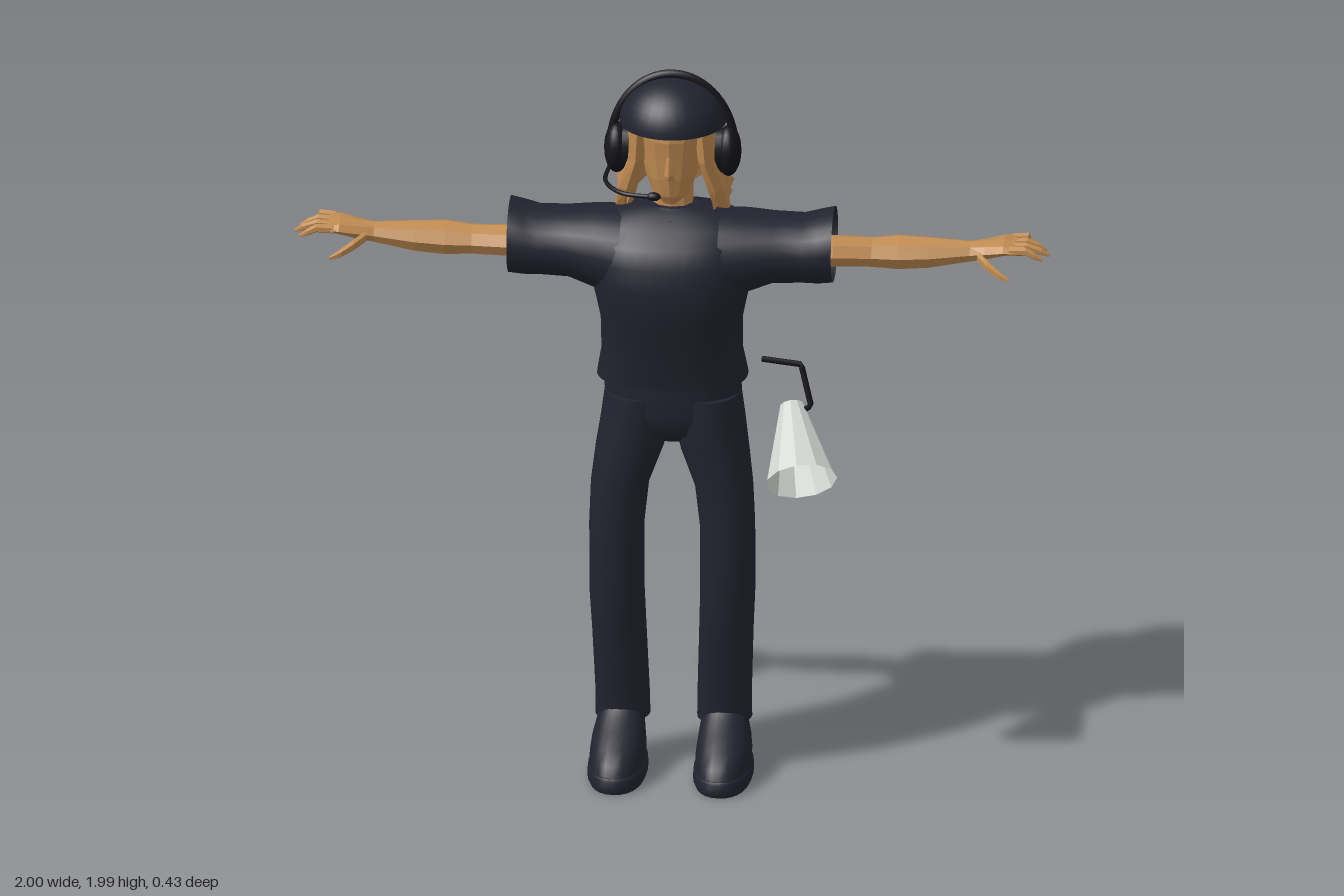
import * as THREE from 'three';

const mat = (name, color) => Object.assign(new THREE.MeshStandardMaterial({ color, side: THREE.DoubleSide }), { name });

// Rings along an axis (0 x, 1 y, 2 z). Each section: [pos, centreU, centreV, radiusU, radiusV],
// where U and V are the next two axes in cyclic order. Sections run in the positive direction.
function loft(axis, sections, { n = 20, cap = true, pow = 1, flat = false, warp = null, skip = null } = {}) {
  const pos = [], idx = [], u = (axis + 1) % 3, v = (axis + 2) % 3;
  const bend = (k) => Math.sign(k) * Math.abs(k) ** pow;
  sections.forEach(([at, cu, cv, ru, rv], i) => {
    for (let j = 0; j < n; j++) {
      const t = (j / n) * Math.PI * 2, p = [0, 0, 0];
      p[axis] = at;
      p[u] = cu + ru * bend(Math.cos(t));
      p[v] = cv + rv * bend(Math.sin(t));
      if (warp) warp(p, i, j);
      pos.push(...p);
    }
  });
  const last = sections.length - 1;
  for (let i = 0; i < last; i++) {
    for (let j = 0; j < n; j++) {
      const a = i * n + j, b = i * n + ((j + 1) % n), c = b + n, d = a + n;
      if (skip) {
        const mid = [0, 1, 2].map((k) => (pos[a * 3 + k] + pos[b * 3 + k] + pos[c * 3 + k] + pos[d * 3 + k]) / 4);
        if (skip(mid)) continue;
      }
      idx.push(a, b, c, a, c, d);
    }
  }
  if (cap) {
    for (const i of [0, last]) {
      const start = pos.length / 3;
      pos.push(...pos.slice(i * n * 3, (i + 1) * n * 3));
      const centre = [0, 0, 0];
      centre[axis] = sections[i][0];
      centre[u] = sections[i][1];
      centre[v] = sections[i][2];
      pos.push(...centre);
      for (let j = 0; j < n; j++) {
        const a = start + j, b = start + ((j + 1) % n);
        if (i) idx.push(start + n, a, b);
        else idx.push(start + n, b, a);
      }
    }
  }
  let g = new THREE.BufferGeometry();
  g.setAttribute('position', new THREE.Float32BufferAttribute(pos, 3));
  g.setIndex(idx);
  if (flat) g = g.toNonIndexed();
  g.computeVertexNormals();
  return g;
}

// Bent rod through a few points
function rod(points, radius, smooth = false) {
  const pts = points.map((p) => new THREE.Vector3(...p));
  if (smooth) return new THREE.TubeGeometry(new THREE.CatmullRomCurve3(pts), 24, radius, 8);
  const path = new THREE.CurvePath();
  for (let i = 1; i < pts.length; i++) path.add(new THREE.LineCurve3(pts[i - 1], pts[i]));
  return new THREE.TubeGeometry(path, 24, radius, 6);
}

export function createModel() {
  const cloth = mat('navy cloth', 0x232330);
  const skin = mat('tan', 0xc08b52);
  const black = mat('black plastic', 0x14141a);
  const grey = mat('pale grey', 0xd2d6d1);
  const model = new THREE.Group();
  const add = (name, geometry, material, parent = model) => {
    const mesh = new THREE.Mesh(geometry, material);
    mesh.name = name;
    parent.add(mesh);
    return mesh;
  };

  // Shirt body, left open where the sleeves join
  add('shirt', loft(1, [
    [1.125, -0.01, 0, 0.14, 0.2], [1.2, 0.005, 0, 0.137, 0.187], [1.3, 0.015, 0, 0.153, 0.188],
    [1.36, 0.018, 0, 0.165, 0.2], [1.42, 0.02, 0, 0.168, 0.215], [1.48, 0.02, 0, 0.16, 0.225],
    [1.53, 0.015, 0, 0.143, 0.225], [1.57, 0.005, 0, 0.112, 0.21], [1.6, 0, 0, 0.075, 0.15], [1.613, 0, 0, 0.045, 0.08],
  ], {
    n: 40, pow: 0.85, cap: false,
    skip: ([x, y, z]) => Math.abs(x) > 0.12 && ((y - 1.5) / 0.085) ** 2 + ((z - 0.005) / 0.1) ** 2 < 1,
  }), cloth);
  add('collar', loft(1, [[1.59, 0, 0, 0.09, 0.11], [1.612, 0, 0, 0.05, 0.08]], { n: 20 }), cloth);

  // Trousers
  add('hips', loft(1, [
    [0.945, -0.02, 0, 0.06, 0.06], [0.98, -0.025, 0, 0.115, 0.13], [1.03, -0.027, 0, 0.128, 0.18],
    [1.09, -0.022, 0, 0.125, 0.182], [1.16, -0.01, 0, 0.115, 0.175],
  ], { n: 28, pow: 0.9 }), cloth);

  for (const s of [1, -1]) {
    const side = new THREE.Group();
    side.name = s > 0 ? 'leftLimbs' : 'rightLimbs';
    model.add(side);
    const upright = (list) => list.map(([y, cz, cx, rz, rx]) => [y, cz, s * cx, rz, rx]);
    const sideways = (list) => (s > 0 ? list : list.map(([x, ...rest]) => [-x, ...rest]).reverse());

    // Legs and shoes
    add('trouserLeg', loft(1, upright([
      [0.14, -0.042, 0.135, 0.072, 0.073], [0.2, -0.038, 0.135, 0.07, 0.072], [0.4, -0.012, 0.142, 0.08, 0.072],
      [0.52, 0.003, 0.147, 0.086, 0.073], [0.7, 0.006, 0.147, 0.086, 0.073], [0.82, 0.01, 0.138, 0.087, 0.077],
      [0.92, -0.002, 0.113, 0.1, 0.09], [0.99, -0.02, 0.098, 0.122, 0.094], [1.08, -0.02, 0.092, 0.12, 0.088],
    ]), { n: 24, pow: 0.9 }), cloth, side);
    add('shoe', loft(1, upright([
      [0.035, 0.05, 0.14, 0.153, 0.073], [0.07, 0.042, 0.14, 0.145, 0.074], [0.1, 0.022, 0.14, 0.125, 0.07],
      [0.13, -0.003, 0.138, 0.1, 0.064], [0.155, -0.025, 0.137, 0.077, 0.058], [0.175, -0.035, 0.136, 0.064, 0.054],
    ]), { n: 24, pow: 0.9 }), cloth, side);
    add('sole', loft(1, upright([
      [0, 0.05, 0.14, 0.157, 0.074], [0.012, 0.05, 0.14, 0.162, 0.079], [0.036, 0.05, 0.14, 0.16, 0.078],
      [0.042, 0.05, 0.14, 0.153, 0.073],
    ]), { n: 28, pow: 0.88 }), cloth, side);

    // Wide open sleeve
    add('sleeve', loft(0, sideways([
      [0.13, 1.475, 0.015, 0.125, 0.135], [0.2, 1.488, 0.012, 0.11, 0.128], [0.27, 1.498, 0.01, 0.093, 0.115],
      [0.35, 1.498, 0.008, 0.09, 0.112], [0.39, 1.503, 0.008, 0.096, 0.116], [0.43, 1.51, 0.008, 0.1, 0.112],
    ]), { n: 26, cap: false }), cloth, side);

    // Arm, palm and fingers
    add('arm', loft(0, sideways([
      [0.24, 1.495, 0.01, 0.045, 0.052], [0.43, 1.49, 0.006, 0.042, 0.054], [0.53, 1.485, -0.008, 0.04, 0.05],
      [0.6, 1.485, -0.014, 0.046, 0.058], [0.68, 1.488, -0.01, 0.042, 0.05], [0.79, 1.497, -0.006, 0.028, 0.034],
      [0.83, 1.505, -0.004, 0.025, 0.043], [0.88, 1.518, -0.004, 0.019, 0.062], [0.91, 1.518, -0.006, 0.014, 0.06],
    ]), { n: 8, flat: true }), skin, side);
    [[-0.053, 0.965], [-0.021, 0.99], [0.011, 1], [0.041, 0.985]].forEach(([z, tip]) => {
      add('finger', loft(0, sideways([
        [0.895, 1.519, z, 0.013, 0.014], [0.94, 1.522, z * 1.1, 0.012, 0.012],
        [tip - 0.02, 1.51, z * 1.18, 0.01, 0.01], [tip, 1.5, z * 1.2, 0.004, 0.005],
      ]), { n: 6, flat: true }), skin, side);
    });
    add('thumb', loft(0, sideways([
      [0.81, 1.495, 0.022, 0.016, 0.018], [0.84, 1.483, 0.06, 0.015, 0.02],
      [0.87, 1.47, 0.085, 0.012, 0.015], [0.9, 1.46, 0.102, 0.005, 0.006],
    ]), { n: 6, flat: true }), skin, side);

    // Ear cup of the headset
    const cup = add('earCup', new THREE.SphereGeometry(1, 20, 14), black, side);
    cup.scale.set(0.034, 0.07, 0.052);
    cup.position.set(s * 0.148, 1.76, -0.01);
    const pad = add('earPad', new THREE.CylinderGeometry(1, 1, 0.03, 20).rotateZ(Math.PI / 2), black, side);
    pad.scale.set(1, 0.062, 0.045);
    pad.position.set(s * 0.13, 1.76, -0.01);

    // Hair strand framing the face
    add('hairStrand', loft(1, upright([
      [1.6, -0.01, 0.13, 0.018, 0.024], [1.66, 0.005, 0.118, 0.04, 0.028],
      [1.75, 0.025, 0.092, 0.05, 0.025], [1.86, 0.03, 0.085, 0.06, 0.028],
    ]), { n: 7, flat: true }), skin, side);
  }

  // Head with a pointed chin
  add('neck', loft(1, [[1.56, -0.015, 0, 0.05, 0.056], [1.7, -0.015, 0, 0.05, 0.055]], { n: 10, flat: true }), skin);
  add('head', loft(1, [
    [1.635, 0.045, 0, 0.03, 0.022], [1.66, 0.03, 0, 0.06, 0.05], [1.71, 0.012, 0, 0.088, 0.07],
    [1.77, 0, 0, 0.106, 0.082], [1.82, 0, 0, 0.112, 0.09], [1.88, 0, 0, 0.105, 0.095],
  ], { n: 14, flat: true }), skin);
  add('nose', loft(1, [
    [1.715, 0.098, 0, 0.016, 0.016], [1.73, 0.102, 0, 0.018, 0.014], [1.78, 0.1, 0, 0.009, 0.008],
  ], { n: 6, flat: true }), skin);

  // Wavy hair around the back, in two ragged layers
  const hair = (name, sections) => add(name, loft(1, sections, {
    n: 36, cap: false, flat: true,
    warp: (p, i, j) => {
      const k = 1 + 0.035 * (j % 2 ? 1 : -1) + 0.03 * Math.sin(j * 2.3 + i);
      p[0] *= k;
      p[2] *= k;
      if (i === 0) p[1] += 0.014 * Math.sin(j * 2.1) + (j % 3 ? 0 : 0.025);
    },
    skip: ([, , z]) => z > 0.03,
  }), skin);
  hair('hairUnder', [
    [1.602, -0.055, 0, 0.13, 0.145], [1.65, -0.045, 0, 0.13, 0.135], [1.71, -0.035, 0, 0.12, 0.12], [1.85, -0.02, 0, 0.11, 0.105],
  ]);
  hair('hairOver', [
    [1.635, -0.055, 0, 0.148, 0.15], [1.68, -0.042, 0, 0.138, 0.138], [1.73, -0.03, 0, 0.125, 0.125],
    [1.79, -0.025, 0, 0.123, 0.118], [1.86, -0.02, 0, 0.12, 0.115],
  ]);

  // Close-fitting cap
  const dome = add('cap', new THREE.SphereGeometry(1, 32, 12, 0, Math.PI * 2, 0, Math.PI / 2), cloth);
  dome.scale.set(0.142, 0.125, 0.148);
  dome.position.set(0, 1.84, -0.015);

  // Headset band and microphone
  const band = add('headband', new THREE.TorusGeometry(0.165, 0.011, 8, 32, Math.PI), black);
  band.scale.y = 1.25;
  band.position.set(0, 1.765, -0.01);
  add('microphoneBoom', rod([[-0.165, 1.715, 0], [-0.17, 1.698, 0.08], [-0.12, 1.693, 0.15], [-0.04, 1.693, 0.17]], 0.006, true), black);
  const mic = add('microphone', new THREE.SphereGeometry(0.012, 12, 8), black);
  mic.scale.x = 1.6;
  mic.position.set(-0.035, 1.693, 0.168);

  // Megaphone hanging beside the left hip
  const small = new THREE.Vector3(0.315, 1.035, -0.02), mouth = new THREE.Vector3(0.355, 0.888, 0.148);
  const horn = add('megaphoneHorn', new THREE.CylinderGeometry(0.032, 0.095, small.distanceTo(mouth), 11, 1, true).toNonIndexed(), grey);
  horn.geometry.computeVertexNormals();
  horn.position.copy(small).lerp(mouth, 0.5);
  horn.quaternion.setFromUnitVectors(new THREE.Vector3(0, 1, 0), small.clone().sub(mouth).normalize());
  const grip = add('megaphoneGrip', new THREE.CapsuleGeometry(0.022, 0.07, 4, 10), black);
  grip.position.set(0.295, 0.91, -0.025);
  add('megaphoneStrap', rod([[0.235, 1.165, -0.02], [0.34, 1.155, -0.015], [0.368, 1.045, 0.005], [0.345, 1.03, 0]], 0.008), black);

  return model;
}
